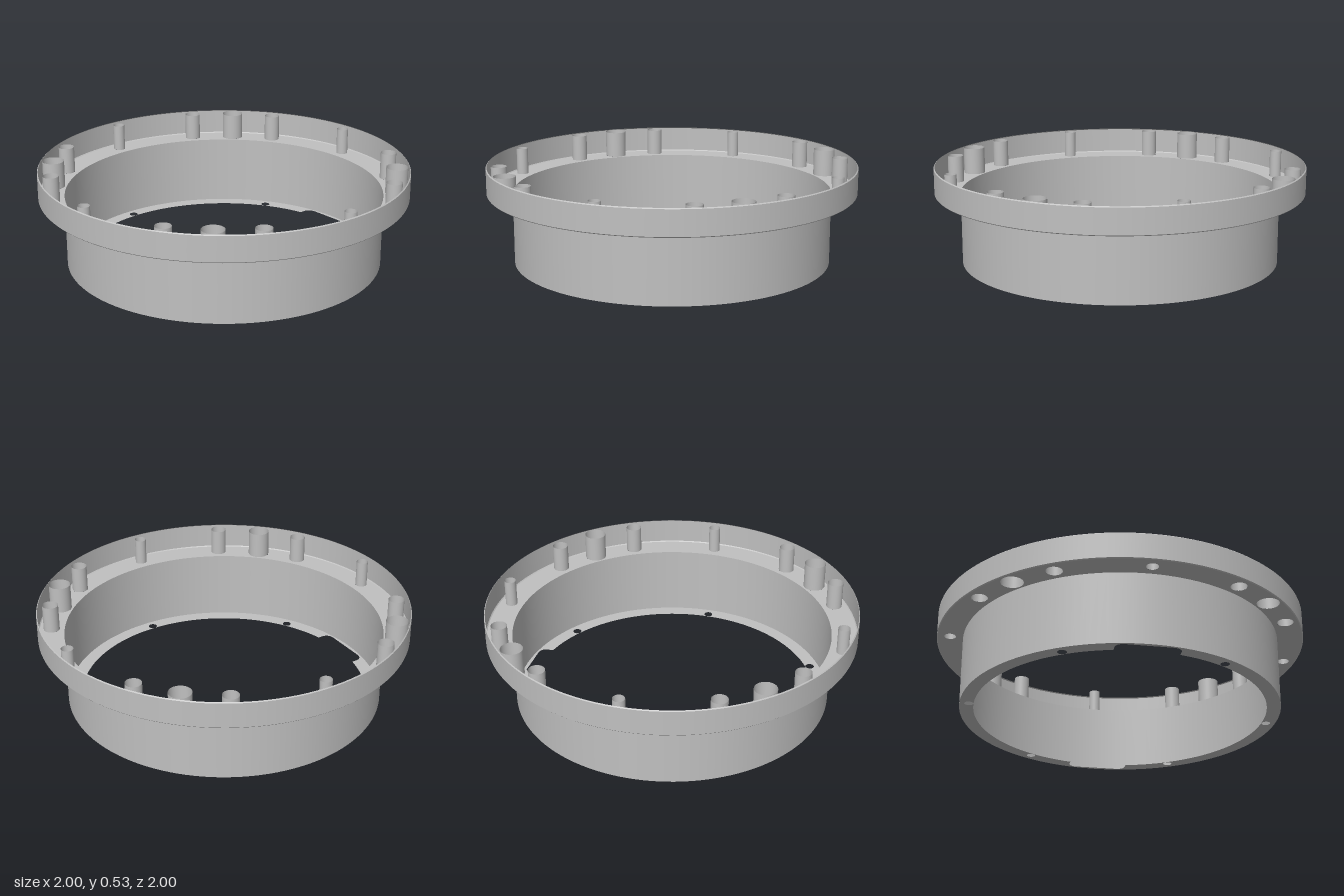
import * as THREE from 'three';

const SEG = 128;
const RIM_Y = 0.53, FLANGE_Y = 0.385;
const OUTER_R = 1, WALL_R = 0.86, INNER_R = 0.785, CHAMFER = 0.005;

const circle = (x, y, r) => new THREE.Path().absarc(x, y, r, 0, Math.PI * 2, true);

// Mirror a point into all four quadrants, dropping duplicates on the axes
function mirrored(x, z, r) {
  const xs = x ? [x, -x] : [0], zs = z ? [z, -z] : [0];
  return xs.flatMap(px => zs.map(pz => [px, pz, r]));
}

// Inner edge of the lower lip: a circle with rounded notches at front and back
function notchedOpening() {
  const w = 0.165, d = 0.84, c = 0.045, a = Math.asin(w / INNER_R);
  const p = new THREE.Path();
  p.absarc(0, 0, INNER_R, -Math.PI / 2 + a, Math.PI / 2 - a, false);
  p.lineTo(w, d - c);
  p.quadraticCurveTo(w, d - 0.004, w - c, d);
  p.lineTo(-w + c, d);
  p.quadraticCurveTo(-w, d - 0.004, -w, d - c);
  p.absarc(0, 0, INNER_R, Math.PI / 2 + a, Math.PI * 1.5 - a, false);
  p.lineTo(-w, -d + c);
  p.quadraticCurveTo(-w, -d + 0.004, -w + c, -d);
  p.lineTo(w - c, -d);
  p.quadraticCurveTo(w, -d + 0.004, w, -d + c);
  p.closePath();
  return p;
}

// Flat ring lying horizontally, facing down
function plate(radius, opening, holes) {
  const s = new THREE.Shape().absarc(0, 0, radius, 0, Math.PI * 2, false);
  s.holes.push(opening, ...holes.map(h => circle(...h)));
  return new THREE.ShapeGeometry(s, SEG / 2).rotateX(Math.PI / 2);
}

// Open cylinder between two heights
function band(rTop, rBottom, y0, y1, seg = SEG) {
  return new THREE.CylinderGeometry(rTop, rBottom, y1 - y0, seg, 1, true)
    .translate(0, (y0 + y1) / 2, 0);
}

export function createModel() {
  const group = new THREE.Group();
  const metal = new THREE.MeshStandardMaterial({ color: 0xc0c0c0, side: THREE.DoubleSide });
  metal.name = 'light grey metal';
  const add = (name, geometry) => {
    const mesh = new THREE.Mesh(geometry, metal);
    mesh.name = name;
    group.add(mesh);
    return mesh;
  };

  const boltHoles = [
    ...mirrored(0.93, 0, 0.032), ...mirrored(0, 0.93, 0.032),
    ...mirrored(0.465, 0.805, 0.043), ...mirrored(0.805, 0.465, 0.043),
    ...mirrored(0.657, 0.657, 0.059),
  ];
  const lipHoles = [...mirrored(0.81, 0, 0.024), ...mirrored(0.405, 0.702, 0.024)];

  // Outer rim with fine chamfers along both edges
  const inset = OUTER_R - CHAMFER;
  add('outerRim', band(OUTER_R, OUTER_R, FLANGE_Y + CHAMFER, RIM_Y - CHAMFER));
  add('rimTopChamfer', band(inset, OUTER_R, RIM_Y - CHAMFER, RIM_Y));
  add('rimBottomChamfer', band(OUTER_R, inset, FLANGE_Y, FLANGE_Y + CHAMFER));

  // Flange floor, open above
  add('flangeFloor', plate(inset, circle(0, 0, WALL_R), boltHoles)).position.y = FLANGE_Y;

  // Sleeves standing around the flange holes
  for (const [x, z, r] of boltHoles) {
    add('boltSleeve', band(r, r, FLANGE_Y, RIM_Y, 32)).position.set(x, 0, z);
  }

  // Lower collar and its inward lip
  add('collarWall', band(WALL_R, WALL_R, 0, FLANGE_Y));
  add('bottomLip', plate(WALL_R, notchedOpening(), lipHoles));

  return group;
}
